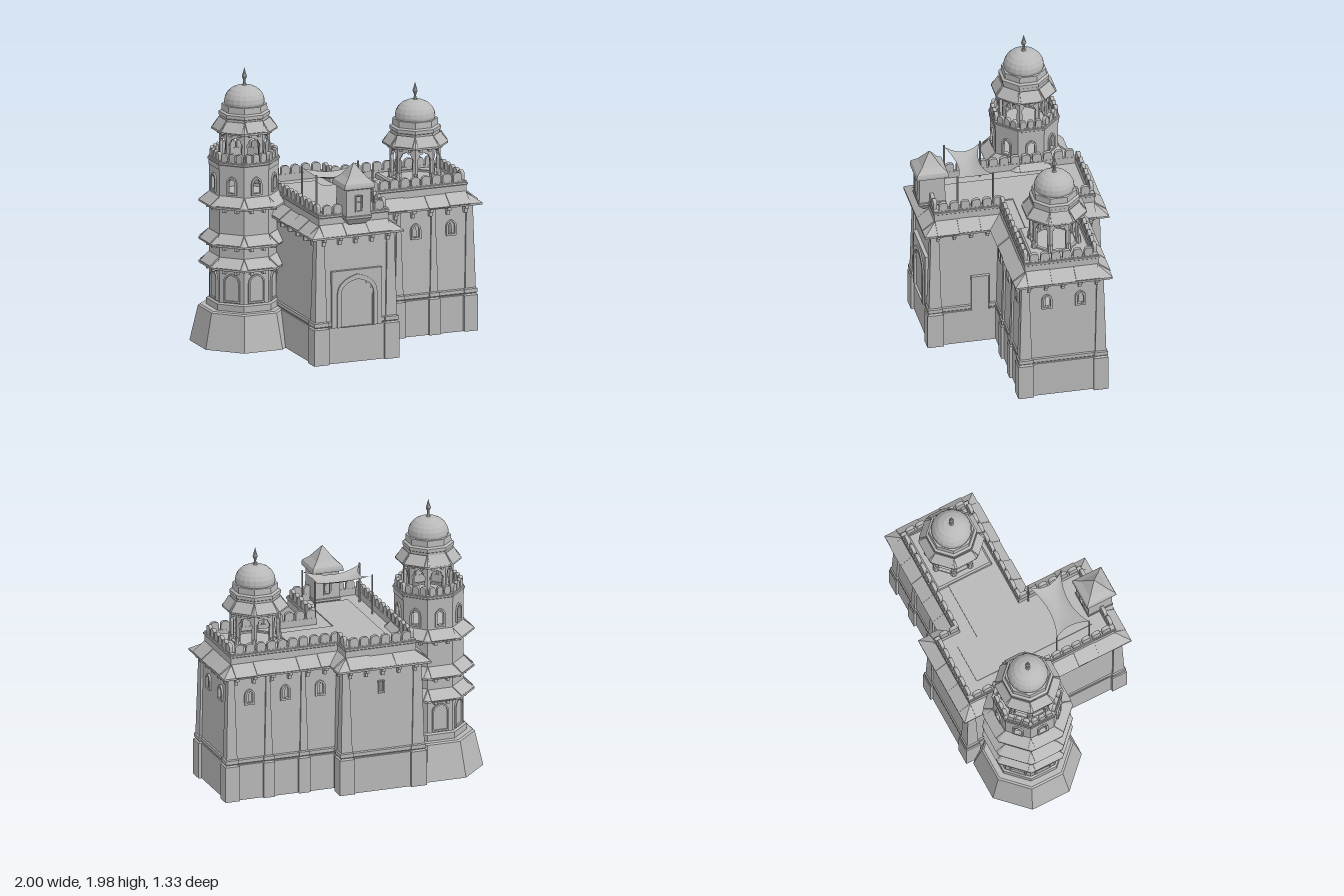
import * as THREE from 'three';
import { mergeGeometries } from 'three/addons/utils/BufferGeometryUtils.js';

const stone = new THREE.MeshStandardMaterial({ color: 0xb8b8b8, side: THREE.DoubleSide });
stone.name = 'grey stone';

let seed = 7;
const jitter = (a) => { seed = (seed * 16807) % 2147483647; return (seed / 2147483647 - 0.5) * 2 * a; };

// ---- helpers: outlines are [x, z] lists, offset outwards by d ----
const rect = (cx, cz, hx, hz) => [[cx - hx, cz - hz], [cx + hx, cz - hz], [cx + hx, cz + hz], [cx - hx, cz + hz]];
const oct = (cx, cz, ap) => Array.from({ length: 8 }, (_, k) => {
  const a = (k + 0.5) * Math.PI / 4, r = ap / Math.cos(Math.PI / 8);
  return [cx + r * Math.cos(a), cz + r * Math.sin(a)];
});
function edge(poly, i) {
  const n = poly.length, a = poly[(i + n) % n], b = poly[(i + 1 + n) % n];
  const dx = b[0] - a[0], dz = b[1] - a[1], L = Math.hypot(dx, dz);
  return { a, b, L, nx: dz / L, nz: -dx / L };
}
const offset = (poly, d) => poly.map((p, i) => {
  const e = edge(poly, i - 1), f = edge(poly, i), k = d / (1 + e.nx * f.nx + e.nz * f.nz);
  return [p[0] + k * (e.nx + f.nx), p[1] + k * (e.nz + f.nz)];
});
function flat(g) {
  if (g.index) g = g.toNonIndexed();
  g.deleteAttribute('uv');
  g.computeVertexNormals();
  return g;
}
function add(parent, name, ...geos) {
  const m = new THREE.Mesh(mergeGeometries(geos.map(flat)), stone);
  m.name = name;
  parent.add(m);
}
// sweep a [offset, height] profile round an outline
function ring(poly, profile) {
  const loops = profile.map(([d, y]) => offset(poly, d).map(([x, z]) => [x, y, z]));
  const v = [], n = poly.length;
  for (let j = 0; j + 1 < loops.length; j++) for (let i = 0; i < n; i++) {
    const k = (i + 1) % n, A = loops[j], B = loops[j + 1];
    v.push(...A[i], ...B[i], ...B[k], ...A[i], ...B[k], ...A[k]);
  }
  const g = new THREE.BufferGeometry();
  g.setAttribute('position', new THREE.Float32BufferAttribute(v, 3));
  return g;
}
function cap(poly, d, y) {
  const s = new THREE.Shape(offset(poly, d).map(([x, z]) => new THREE.Vector2(x, -z)));
  return new THREE.ShapeGeometry(s).rotateX(-Math.PI / 2).translate(0, y, 0);
}
// place a geometry on an outline edge, its +z facing outwards
function spot(geo, poly, i, u, y, d, tilt = 0) {
  const e = edge(poly, i), t = u / e.L;
  return geo.clone().rotateX(tilt).rotateY(Math.atan2(e.nx, e.nz)).translate(
    e.b[0] + (e.a[0] - e.b[0]) * t + e.nx * d, y, e.b[1] + (e.a[1] - e.b[1]) * t + e.nz * d);
}
function along(geo, poly, step, y, d, tilt = 0, wobble = 0) {
  const out = [];
  poly.forEach((_, i) => {
    const L = edge(poly, i).L, n = Math.max(1, Math.round(L / step));
    for (let k = 0; k < n; k++) {
      const g = geo.clone().scale(L / n / step, 1, 1);
      out.push(spot(g, poly, i, (k + 0.5) * L / n, y + jitter(wobble), d + jitter(wobble), tilt + jitter(wobble * 6)));
    }
  });
  return out;
}
// pointed arch outline, or a scalloped one
function arch(path, x, w, y0, ys, yt, cusps = 0) {
  path.moveTo(x - w, y0); path.lineTo(x + w, y0); path.lineTo(x + w, ys);
  if (!cusps) {
    path.quadraticCurveTo(x + w, ys + (yt - ys) * 0.75, x, yt);
    path.quadraticCurveTo(x - w, ys + (yt - ys) * 0.75, x - w, ys);
  } else for (let k = 1; k <= cusps; k++) {
    const a = k * Math.PI / cusps, m = a - Math.PI / cusps / 2, h = yt - ys;
    path.quadraticCurveTo(x + w * 1.3 * Math.cos(m), ys + h * 1.3 * Math.sin(m), x + w * Math.cos(a), ys + h * Math.sin(a));
  }
  path.closePath();
  return path;
}
const extrude = (s, depth) => new THREE.ExtrudeGeometry(s, { depth, bevelEnabled: false, curveSegments: 5 });
function archFrame(w, h, t, depth, spring = 0.6) {
  const s = arch(new THREE.Shape(), 0, w, 0, h * spring, h);
  s.holes.push(arch(new THREE.Path(), 0, w - t, t, h * spring, h - t));
  return extrude(s, depth);
}
// leaning walls with arched openings [u, halfWidth, bottom, spring, top]
function walls(poly, d0, y0, d1, y1, openings) {
  const lo = offset(poly, d0), hi = offset(poly, d1);
  return poly.map((_, i) => {
    const a = edge(lo, i), b = edge(hi, i);
    const s = new THREE.Shape([[0, y0], [a.L, y0], [a.L, y1], [0, y1]].map((p) => new THREE.Vector2(...p)));
    for (const o of openings(i, a.L)) s.holes.push(arch(new THREE.Path(), ...o));
    const g = new THREE.ShapeGeometry(s, 5), p = g.attributes.position;
    for (let k = 0; k < p.count; k++) {
      const u = p.getX(k) / a.L, v = p.getY(k), t = (v - y0) / (y1 - y0);
      const at = (c) => (a.b[c] + (a.a[c] - a.b[c]) * u) * (1 - t) + (b.b[c] + (b.a[c] - b.a[c] ? (b.a[c] - b.b[c]) : (b.a[c] - b.b[c])) * u) * t;
      p.setXYZ(k, at(0), v, at(1));
    }
    return g;
  });
}
// sloping stone eave with loose slabs laid on it
function eave(parent, name, poly, din, dout, ylow, yhigh, step) {
  const tilt = Math.atan2(yhigh - ylow, dout - din), len = Math.hypot(yhigh - ylow, dout - din);
  const slab = new THREE.BoxGeometry(step * 0.99, 0.01, len);
  add(parent, name, ring(poly, [[din, ylow + 0.01], [dout, ylow - 0.008], [dout, ylow + 0.006], [din, yhigh]]),
    ...along(slab, offset(poly, din), step, (ylow + yhigh) / 2 + 0.005, (dout - din) / 2, tilt, 0.004));
}
function battlement(parent, poly, dout, y0, y1, y2, step) {
  const w = step * 0.4, s = new THREE.Shape();
  s.moveTo(-w, 0); s.lineTo(w, 0); s.lineTo(w, (y2 - y1) * 0.55);
  s.quadraticCurveTo(w, y2 - y1, 0, y2 - y1);
  s.quadraticCurveTo(-w, y2 - y1, -w, (y2 - y1) * 0.55);
  add(parent, 'parapet', ring(poly, [[dout, y0], [dout, y1 - 0.03], [dout + 0.006, y1 - 0.025], [dout + 0.006, y1 - 0.012],
    [dout, y1 - 0.008], [dout, y1], [dout - 0.03, y1], [dout - 0.03, y0]]));
  add(parent, 'merlons', ...along(extrude(s, 0.026), offset(poly, dout - 0.028), step, y1, 0));
}
// domed open pavilion
function pavilion(name, cx, cz, y) {
  const g = new THREE.Group();
  g.name = name;
  g.position.set(cx, y, cz);
  const o = oct(0, 0, 0.165), side = edge(o, 0).L, s = new THREE.Shape();
  s.moveTo(-side / 2, 0); s.lineTo(side / 2, 0); s.lineTo(side / 2, 0.26); s.lineTo(-side / 2, 0.26);
  s.holes.push(arch(new THREE.Path(), 0, side * 0.34, 0.012, 0.14, 0.205, 5));
  add(g, 'archedScreens', ...along(extrude(s, 0.022), o, side, 0, -0.022));
  add(g, 'columnBases', ...o.map(([x, z]) => new THREE.CylinderGeometry(0.018, 0.024, 0.06, 8).translate(x * 0.95, 0.03, z * 0.95)));
  add(g, 'pavilionBrackets', ...along(new THREE.BoxGeometry(0.018, 0.03, 0.03), o, side / 2, 0.24, 0.012));
  eave(g, 'pavilionEave', o, 0, 0.05, 0.255, 0.325, side);
  add(g, 'drum', cap(o, -0.01, 0.25), ring(o, [[-0.005, 0.31], [-0.005, 0.345], [0.002, 0.35], [0.002, 0.375],
    [-0.015, 0.385], [-0.018, 0.43], [-0.06, 0.435]]));
  const lathe = (pts, n) => new THREE.LatheGeometry(pts.map((p) => new THREE.Vector2(...p)), n);
  add(g, 'dome', lathe([[0.138, 0.42], [0.143, 0.45], [0.138, 0.48], [0.122, 0.51], [0.095, 0.537], [0.055, 0.556], [0, 0.565]], 20));
  add(g, 'finial', lathe([[0.022, 0.555], [0.012, 0.57], [0.008, 0.59], [0.01, 0.605], [0.019, 0.625], [0.011, 0.65], [0, 0.69]], 8));
  return g;
}

export function createModel() {
  const model = new THREE.Group();
  model.name = 'fortifiedGatehouse';
  const P = [[-0.46, -0.62], [0.15, -0.62], [0.15, -0.465], [0.95, -0.465], [0.95, 0.143], [0.15, 0.143], [0.15, 0.615], [-0.46, 0.615]];

  // main walls, open underneath
  const wins = { 2: [0.17, 0.44, 0.7], 3: [0.193, 0.433], 4: [0.1, 0.36, 0.63] };
  add(model, 'plinth', ring(P, [[0, 0], [0, 0.26], [-0.01, 0.265]]), cap(P, 0, 0.26));
  add(model, 'plinthMoulding', ring(P, [[-0.008, 0.265], [0.002, 0.275], [0.002, 0.3], [-0.01, 0.31]]));
  add(model, 'walls', ...walls(P, -0.005, 0.26, -0.025, 0.96, (i) =>
    i === 0 ? [[0.3, 0.012, 0.73, 0.8, 0.802]] : (wins[i] || []).map((u) => [u, 0.022, 0.715, 0.76, 0.8])));
  const frame = archFrame(0.038, 0.115, 0.014, 0.032);
  add(model, 'windowFrames', ...Object.entries(wins).flatMap(([i, us]) => us.map((u) => spot(frame, P, +i, u, 0.7, -0.037))),
    spot(archFrame(0.024, 0.095, 0.01, 0.03, 0.97), P, 0, 0.3, 0.72, -0.037));

  // pilasters
  const pil = [];
  const pilaster = (x0, x1, z0, z1) => pil.push(ring(rect((x0 + x1) / 2, (z0 + z1) / 2, (x1 - x0) / 2, (z1 - z0) / 2),
    [[0, 0], [0, 0.26], [-0.012, 0.27], [-0.004, 0.278], [-0.004, 0.305], [-0.013, 0.312], [-0.03, 0.96]]));
  for (const [x0, x1] of [[-0.48, -0.364], [0.06, 0.17]]) { pilaster(x0, x1, 0.52, 0.636); pilaster(x0, x1, -0.638, -0.525); }
  for (const [x0, x1] of [[0.335, 0.42], [0.6, 0.685], [0.866, 0.972]]) { pilaster(x0, x1, 0.05, 0.163); pilaster(x0, x1, -0.485, -0.38); }
  add(model, 'pilasters', ...pil);

  // gate and side door
  const gate = new THREE.Shape([[-0.19, 0.26], [0.19, 0.26], [0.19, 0.67], [-0.19, 0.67]].map((p) => new THREE.Vector2(...p)));
  gate.holes.push(arch(new THREE.Path(), 0, 0.118, 0.262, 0.48, 0.585, 7));
  add(model, 'gateSurround', extrude(gate, 0.035).translate(-0.15, 0, 0.59));
  const rim = arch(new THREE.Shape(), 0, 0.152, 0.26, 0.5, 0.64);
  rim.holes.push(arch(new THREE.Path(), 0, 0.124, 0.262, 0.5, 0.605));
  add(model, 'gateArch', extrude(rim, 0.01).translate(-0.15, 0, 0.625));
  add(model, 'gateDoor', new THREE.BoxGeometry(0.27, 0.36, 0.02).translate(-0.15, 0.44, 0.608));
  add(model, 'sideDoor', new THREE.BoxGeometry(0.03, 0.265, 0.125).translate(0.14, 0.395, 0.253),
    new THREE.BoxGeometry(0.03, 0.275, 0.008).translate(0.145, 0.4, 0.19), new THREE.BoxGeometry(0.03, 0.275, 0.008).translate(0.145, 0.4, 0.315),
    new THREE.BoxGeometry(0.03, 0.008, 0.13).translate(0.145, 0.533, 0.253));

  // eaves, parapet and roof
  add(model, 'eaveBrackets', ...along(new THREE.BoxGeometry(0.026, 0.03, 0.06), P, 0.13, 0.91, 0),
    ...along(new THREE.BoxGeometry(0.022, 0.04, 0.035), P, 0.13, 0.88, -0.012));
  eave(model, 'mainEave', P, -0.045, 0.045, 0.925, 0.995, 0.16);
  battlement(model, P, -0.04, 0.98, 1.08, 1.142, 0.077);
  add(model, 'roofDeck', cap(P, -0.05, 1.03), ring(P, [[-0.16, 1.03], [-0.16, 1.038]]), cap(P, -0.16, 1.038));
  const plat = rect(0.65, -0.175, 0.228, 0.215);
  add(model, 'pavilionPlatform', ring(plat, [[0, 1.03], [0, 1.06], [-0.012, 1.07]]), cap(plat, -0.012, 1.07));
  model.add(pavilion('roofPavilion', 0.632, -0.17, 1.07));

  // lookout above the gate
  const K = rect(-0.145, 0.553, 0.095, 0.095);
  add(model, 'lookoutWalls', ...walls(K, 0, 1.04, -0.004, 1.27, (i, L) => (i % 2 ? [] : [[L / 2, 0.02, 1.1, 1.2, 1.202]])));
  add(model, 'lookoutBase', ring(K, [[-0.095, 1], [-0.03, 1], [0.004, 1.045], [0.004, 1.06], [0, 1.065]]));
  add(model, 'lookoutWindows', ...[0, 2].map((i) => spot(archFrame(0.028, 0.125, 0.009, 0.02, 0.98), K, i, 0.095, 1.09, -0.012)));
  add(model, 'lookoutRoof', ring(K, [[-0.01, 1.25], [0.02, 1.262], [0.02, 1.28], [0.014, 1.3], [-0.025, 1.335], [-0.0945, 1.43]]));

  // cloth awning on poles
  const cloth = new THREE.PlaneGeometry(2, 2, 12, 12), cp = cloth.attributes.position;
  for (let k = 0; k < cp.count; k++) {
    const u = cp.getX(k), v = cp.getY(k), a = 1 - u * u, b = 1 - v * v;
    cp.setXYZ(k, -0.15 + 0.212 * u * (1 - 0.2 * b), 1.31 - 0.03 * (a + b), 0.27 - 0.127 * v * (1 - 0.38 * a));
  }
  add(model, 'awning', cloth);
  add(model, 'awningPoles', ...[-1, 1].flatMap((sx) => [-1, 1].map((sz) =>
    new THREE.CylinderGeometry(0.007, 0.007, 0.29, 6).translate(-0.15 + sx * 0.214, 1.175, 0.27 + sz * 0.129))));

  // octagonal tower
  const T = oct(-0.645, -0.24, 0.225), side = edge(T, 0).L, tower = new THREE.Group();
  tower.name = 'tower';
  model.add(tower);
  add(tower, 'towerBase', ring(T, [[0.128, 0], [0.073, 0.255], [0.06, 0.265], [0.02, 0.265], [0.02, 0.31], [0.005, 0.32]]), cap(T, 0.06, 0.26));
  add(tower, 'towerWalls', ring(T, [[0, 0.26], [0, 1.08]]), cap(T, 0, 1.06), ...walls(T, 0, 1.06, 0, 1.32, (i, L) => [[L / 2, 0.026, 1.12, 1.18, 1.225]]), cap(T, -0.01, 1.29));
  add(tower, 'towerNiches', ...along(archFrame(0.062, 0.21, 0.012, 0.014, 0.7), T, side, 0.325, -0.002));
  add(tower, 'towerWindows', ...along(archFrame(0.04, 0.135, 0.014, 0.03), T, side, 1.105, -0.018));
  for (const y of [0.575, 0.745, 1.02]) {
    eave(tower, 'towerEave', T, 0, 0.07, y, y + 0.062, side / 1);
    add(tower, 'towerBrackets', ...along(new THREE.BoxGeometry(0.02, 0.04, 0.045), T, side / 2, y - 0.018, 0.018));
  }
  battlement(tower, T, 0.004, 1.28, 1.345, 1.402, 0.063);
  tower.add(pavilion('towerPavilion', -0.642, -0.237, 1.29));
  return model;
}
